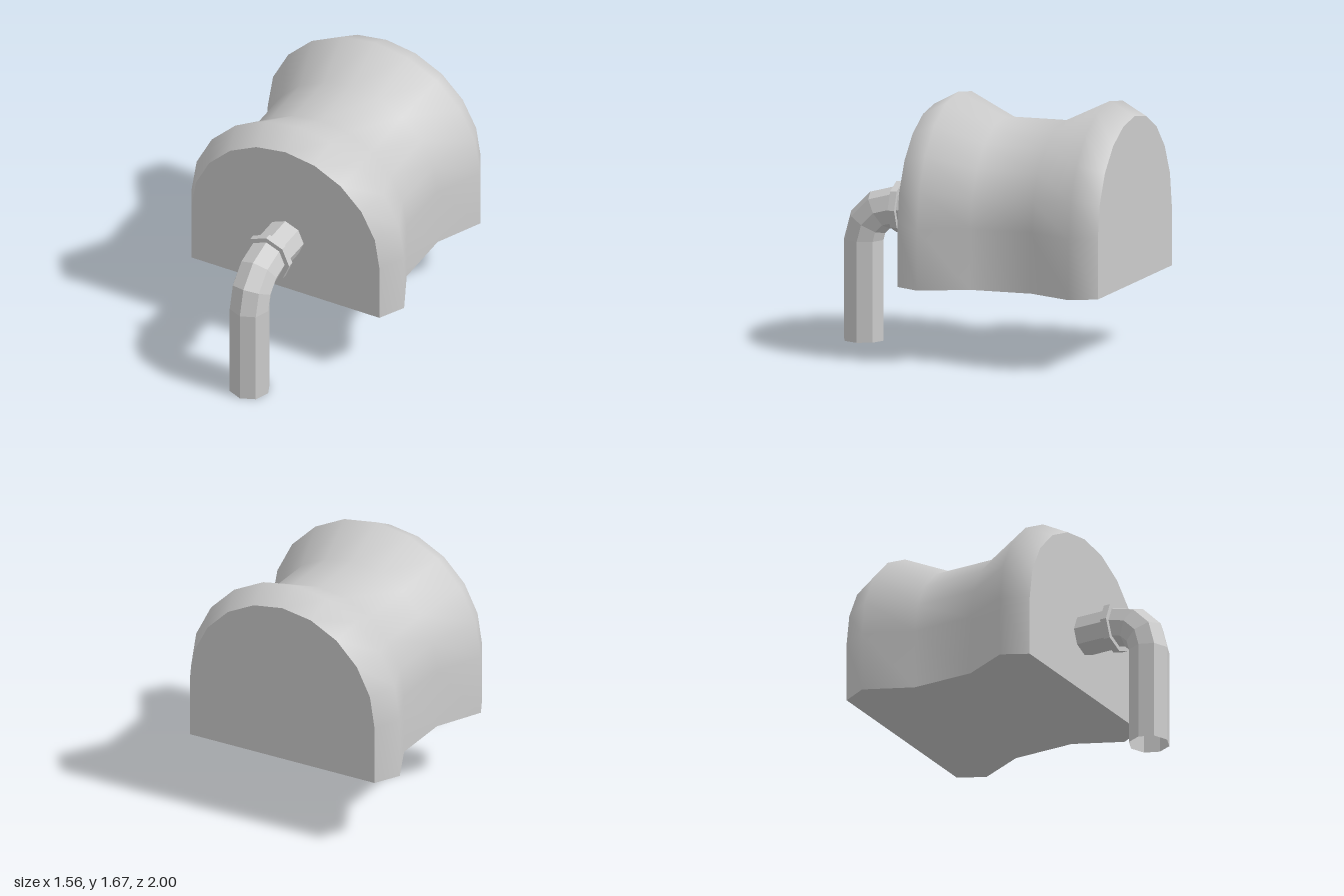
import * as THREE from 'three';

// Skin a list of point rings (all the same length) with shared, smoothable vertices
function loft(rings) {
  const n = rings[0].length;
  const index = [];
  for (let i = 0; i < rings.length - 1; i++) {
    for (let j = 0; j < n - 1; j++) {
      const a = i * n + j, b = a + 1, d = a + n, c = d + 1;
      index.push(a, d, b, d, c, b);
    }
  }
  const geometry = new THREE.BufferGeometry();
  geometry.setAttribute('position', new THREE.Float32BufferAttribute(rings.flat(2), 3));
  geometry.setIndex(index);
  geometry.computeVertexNormals();
  return geometry;
}

const BASE = 0.485;  // underside of the body
const AXIS = 0.885;  // height of the arch centre and of the pipe outlet

// Half outline: arch of ten segments on straight sides
function archOutline(r) {
  const points = [[r, BASE]];
  for (let i = 0; i <= 10; i++) {
    const a = (i * Math.PI) / 10;
    points.push([r * Math.cos(a), AXIS + (r + 0.002 * (r - 0.7)) * Math.sin(a)]);
  }
  points.push([-r, BASE]);
  return points;
}

export function createModel() {
  const model = new THREE.Group();
  const smooth = new THREE.MeshStandardMaterial({ color: 0xcccccc });
  const faceted = new THREE.MeshStandardMaterial({ color: 0xcccccc, flatShading: true, side: THREE.DoubleSide });

  const add = (name, geometry, material, parent = model) => {
    const mesh = new THREE.Mesh(geometry, material);
    mesh.name = name;
    parent.add(mesh);
    return mesh;
  };

  // Waisted arched body: [z, radius] from front to back
  const body = new THREE.Group();
  body.name = 'body';
  model.add(body);
  const sections = [
    [0.38, 0.69], [0.21, 0.78], [-0.1, 0.632], [-0.52, 0.632], [-0.83, 0.78], [-1, 0.69],
  ];
  add('bodyShell', loft(sections.map(([z, r]) => archOutline(r).map(([x, y]) => [x, y, z]))), smooth, body);
  add('bodyUnderside', loft(sections.map(([z, r]) => [[-r, BASE, z], [r, BASE, z]])), smooth, body);

  // Flat end walls
  const endShape = new THREE.Shape(archOutline(0.69).map(([x, y]) => new THREE.Vector2(x, y)));
  add('frontWall', new THREE.ShapeGeometry(endShape), smooth, body).position.z = 0.38;
  const backWall = add('backWall', new THREE.ShapeGeometry(endShape), smooth, body);
  backWall.rotation.y = Math.PI;
  backWall.position.z = -1;

  // Octagonal pipe, open at the foot, bending back into the front wall
  const pipeRadius = 0.135, bend = 0.225, bendY = 0.66, bendZ = 0.64;
  const pipeRing = (y, z, t) => Array.from({ length: 9 }, (_, j) => {
    const a = (j * Math.PI) / 4;
    const up = pipeRadius * Math.sin(a);
    return [pipeRadius * Math.cos(a), y + up * Math.sin(t), z + up * Math.cos(t)];
  });
  const pipeRings = [pipeRing(0, bendZ + bend, 0)];
  for (let i = 0; i <= 3; i++) {
    const t = (i * Math.PI) / 6;
    pipeRings.push(pipeRing(bendY + bend * Math.sin(t), bendZ + bend * Math.cos(t), t));
  }
  pipeRings.push(pipeRing(AXIS, 0.37, Math.PI / 2));
  add('pipe', loft(pipeRings), faceted);

  // Collar where the straight pipe meets the bend
  const collar = new THREE.CylinderGeometry(0.168, 0.168, 0.045, 8).rotateX(Math.PI / 2);
  add('pipeCollar', collar, faceted).position.set(0, AXIS, 0.618);

  return model;
}
